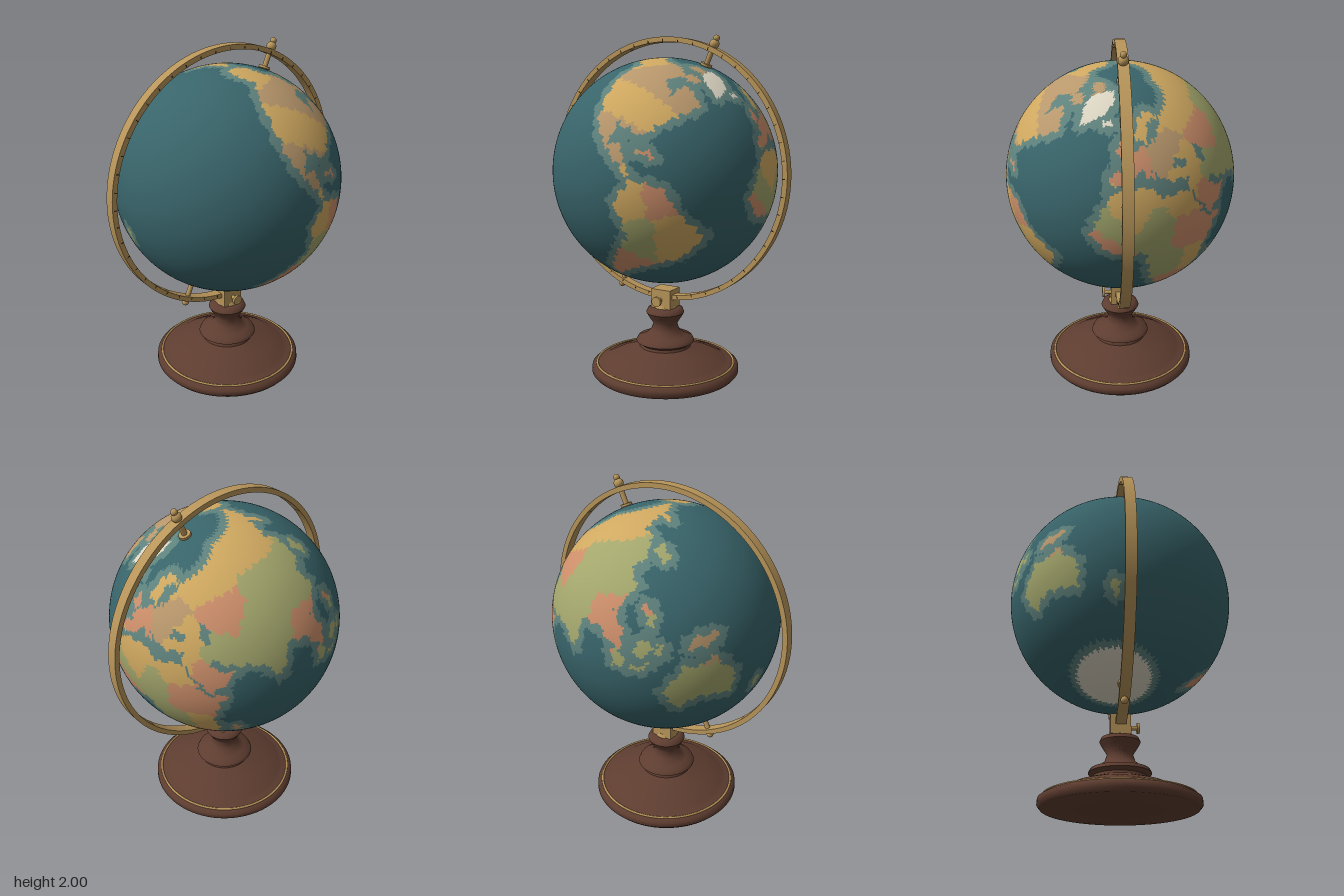
import * as THREE from 'three';
import { toCreasedNormals } from 'three/addons/utils/BufferGeometryUtils.js';

const mat = (name, color) => {
  const m = new THREE.MeshStandardMaterial({ color });
  m.name = name;
  return m;
};

// Coarse coastlines as lon, lat pairs in degrees
const northAmerica = [-166, 67, -156, 71, -125, 70, -95, 71, -82, 68, -94, 59, -80, 52, -77, 61, -65, 59, -57, 52, -66, 45,
  -76, 36, -81, 27, -97, 28, -95, 18, -88, 20, -83, 13, -78, 8, -97, 16, -107, 23, -124, 42, -135, 58, -155, 58, -164, 60];
const southAmerica = [-77, 8, -62, 10, -50, 0, -35, -6, -40, -20, -58, -37, -66, -48, -67, -55, -75, -48, -70, -18, -81, -5];
const africa = [-6, 36, 10, 37, 20, 31, 33, 31, 43, 12, 51, 11, 40, -4, 40, -15, 33, -27, 20, -35, 12, -15, 9, 4, -8, 5,
  -17, 14, -12, 27];
const eurasia = [-9, 37, -9, 43, -1, 45, -4, 49, 8, 54, 20, 55, 30, 60, 40, 66, 70, 70, 104, 76, 140, 72, 188, 66, 163, 60,
  157, 52, 155, 60, 137, 55, 139, 48, 127, 37, 120, 38, 121, 28, 107, 20, 108, 11, 103, 2, 97, 16, 88, 21, 78, 8, 72, 20,
  57, 26, 49, 30, 52, 24, 59, 21, 45, 13, 35, 29, 36, 36, 27, 37, 22, 38, 13, 45, 17, 39, 9, 44, 0, 39];
const scandinavia = [6, 59, 15, 68, 27, 71, 40, 66, 24, 65, 15, 56];
const greenland = [-70, 78, -35, 83, -19, 78, -24, 70, -43, 60, -53, 67];
const australia = [114, -23, 130, -13, 137, -16, 142, -12, 153, -26, 149, -38, 130, -32, 116, -35];
const mainlands = [northAmerica, southAmerica, africa, eurasia, scandinavia, greenland, australia];

// Islands and inland seas as ellipses: lon, lat, half width, half height
const islands = [[-74, 68, 4, 3], [-110, 71, 5, 2], [-79, 79, 4, 3], [-19, 65, 2.5, 1.3], [-3, 54, 2, 4], [-76, 21, 5, 1],
  [47, -19, 2, 6], [139, 38, 2.5, 5], [122, 14, 2, 5], [101, 0, 3, 4], [110, -7, 5, 1], [114, 1, 4, 4], [121, -2, 1.5, 3],
  [141, -5, 8, 2.5], [172, -42, 2, 4]];
const inlandSeas = [[34, 43, 4, 2], [51, 42, 2, 5]];

// Country centres as lon, lat pairs; land takes the tint of the nearest one
const countries = {
  ochre: [-155, 65, -100, 40, -75, 0, -50, -12, 65, 63, 110, 64, 170, 66, 38, 40, 2, 27, 30, 26, 36, -10, 15, 65],
  tan: [-100, 56, -75, 65, -80, 79, -98, 20, 25, 50, 47, -19, 140, -5],
  green: [82, 36, 100, 47, 115, 38, 78, 20, 133, -25, -64, -18, 56, 32, -8, 18, 20, -8, 114, 0, 16, 16],
  pink: [66, 47, 46, 22, -66, -38, -64, 7, 6, 48, -12, 10, 30, 13, 42, 7, 22, -27, 105, 15],
  ice: [-42, 66, -40, 76]
};

const RAD = Math.PI / 180;
const SHELF = 3.8;
const toVec = (lon, lat) => new THREE.Vector3().setFromSphericalCoords(1, (90 - lat) * RAD, lon * RAD);
const seeds = Object.entries(countries).flatMap(([tint, s]) =>
  Array.from({ length: s.length / 2 }, (_, i) => ({ tint, v: toVec(s[2 * i], s[2 * i + 1]) })));

// Distance in degrees from a point to a coastline: 0 on land
function coastDistance(p, x, y) {
  const k = Math.cos(y * RAD);
  let hit = false, best = Infinity;
  for (let i = 0, j = p.length - 2; i < p.length; j = i, i += 2) {
    const ax = (p[j] - x) * k, ay = p[j + 1] - y, dx = (p[i] - p[j]) * k, dy = p[i + 1] - p[j + 1];
    if ((p[i + 1] > y) !== (p[j + 1] > y) && ax - dx * ay / dy > 0) hit = !hit;
    const t = THREE.MathUtils.clamp(-(ax * dx + ay * dy) / (dx * dx + dy * dy), 0, 1);
    best = Math.min(best, Math.hypot(ax + t * dx, ay + t * dy));
  }
  return hit ? 0 : best;
}

const inEllipse = ([lon, lat, a, b], x, y, grow) =>
  Math.hypot((x - lon) * Math.cos(lat * RAD) / (a + grow), (y - lat) / (b + grow)) < 1;

// Map tint at a place, with a small wobble that roughens the coasts
function tintAt(lon, lat) {
  const x = lon + 0.9 * Math.sin(lat * 0.9 + lon * 0.3) + 0.5 * Math.sin(lat * 1.9);
  const y = lat + 0.8 * Math.sin(lon * 0.8 - lat * 0.2) + 0.4 * Math.sin(lon * 1.7);
  const iceEdge = -72 + 5 * Math.cos((x - 100) * RAD);
  if (y < iceEdge) return 'ice';
  if (inlandSeas.some(e => inEllipse(e, x, y, 0))) return 'shallow';
  const wrapped = x < -165 ? x + 360 : x;
  const far = Math.min(...mainlands.map(p => Math.min(coastDistance(p, x, y), coastDistance(p, wrapped, y))));
  if (far === 0 || islands.some(e => inEllipse(e, x, y, 0))) {
    const v = toVec(x, y);
    return seeds.reduce((a, b) => (b.v.dot(v) > a.v.dot(v) ? b : a)).tint;
  }
  return far < SHELF || y < iceEdge + SHELF || islands.some(e => inEllipse(e, x, y, SHELF)) ? 'shallow' : 'ocean';
}

// Smooth sphere whose cells are grouped by map tint
function globeGeometry(radius, W, H, names) {
  const geo = new THREE.SphereGeometry(radius, W, H);
  const lists = Object.fromEntries(names.map(n => [n, []]));
  for (let r = 0; r < H; r++) for (let c = 0; c < W; c++) {
    const list = lists[tintAt((c + 0.5) / W * 360 - 180, 90 - (r + 0.5) / H * 180)];
    const b = r * (W + 1) + c, a = b + 1, d = b + W + 1, e = d + 1;
    if (r > 0) list.push(a, b, e);
    if (r < H - 1) list.push(b, d, e);
  }
  let start = 0;
  names.forEach((n, i) => {
    geo.addGroup(start, lists[n].length, i);
    start += lists[n].length;
  });
  geo.setIndex(names.flatMap(n => lists[n]));
  return geo;
}

export function createModel() {
  const model = new THREE.Group();
  const tints = {
    ocean: mat('ocean', 0x38646a), shallow: mat('shallow sea', 0x5f827d), ochre: mat('ochre land', 0xcfa860),
    tan: mat('tan land', 0xb8976c), green: mat('green land', 0xa3a66c), pink: mat('terracotta land', 0xcc8e6a),
    ice: mat('ice', 0xdcd5c3)
  };
  const brass = mat('brass', 0xb8955a), wood = mat('dark wood', 0x5e3d30), ink = mat('ink', 0x2a2018);
  const add = (parent, name, geo, material, x = 0, y = 0, z = 0) => {
    const m = new THREE.Mesh(geo, material);
    m.name = name;
    m.position.set(x, y, z);
    parent.add(m);
    return m;
  };

  // Turned wooden base
  const profile = [[0, 0], [0.43, 0], [0.447, 0.02], [0.445, 0.05], [0.42, 0.068], [0.385, 0.07], [0.36, 0.087],
    [0.27, 0.127], [0.155, 0.165], [0.15, 0.18], [0.176, 0.198], [0.165, 0.22], [0.125, 0.23], [0.085, 0.265],
    [0.072, 0.305], [0.1, 0.348], [0.115, 0.375], [0.105, 0.398], [0.085, 0.405], [0, 0.405]];
  const baseGeo = new THREE.LatheGeometry(profile.map(p => new THREE.Vector2(...p)), 80);
  add(model, 'base', toCreasedNormals(baseGeo, 0.9), wood);
  add(model, 'baseBand', new THREE.TorusGeometry(0.415, 0.007, 8, 96), brass, 0, 0.068, 0).rotation.x = Math.PI / 2;

  // Brass clamp with thumbscrew
  add(model, 'clampCollar', new THREE.CylinderGeometry(0.06, 0.07, 0.025, 32), brass, 0, 0.415, 0);
  add(model, 'clampBlock', new THREE.BoxGeometry(0.13, 0.115, 0.115), brass, 0, 0.465, 0);
  add(model, 'screwShaft', new THREE.CylinderGeometry(0.012, 0.012, 0.06, 16), brass, 0, 0.46, 0.075).rotation.x = Math.PI / 2;
  add(model, 'screwHead', new THREE.CylinderGeometry(0.03, 0.03, 0.016, 24), brass, 0, 0.46, 0.102).rotation.x = Math.PI / 2;

  // Tilted globe with axle pins and finials
  const globe = new THREE.Group();
  globe.name = 'globe';
  globe.position.y = 1.23;
  globe.rotation.z = -23.5 * RAD;
  model.add(globe);
  add(globe, 'mapSphere', globeGeometry(0.655, 320, 160, Object.keys(tints)), Object.values(tints));
  for (const s of [1, -1]) {
    add(globe, 'axlePin', new THREE.CylinderGeometry(0.015, 0.015, 0.13, 16), brass, 0, s * 0.71, 0);
    add(globe, 'axleCollar', new THREE.CylinderGeometry(0.033, 0.033, 0.014, 24), brass, 0, s * 0.664, 0);
  }
  add(globe, 'topFinial', new THREE.SphereGeometry(0.028, 24, 16), brass, 0, 0.786, 0);
  add(globe, 'topFinialTip', new THREE.SphereGeometry(0.018, 20, 12), brass, 0, 0.82, 0);
  add(globe, 'bottomFinial', new THREE.SphereGeometry(0.021, 20, 12), brass, 0, -0.784, 0);

  // Meridian ring with degree ticks on the front
  const ring = new THREE.Shape().absarc(0, 0, 0.77, 0, Math.PI * 2);
  ring.holes.push(new THREE.Path().absarc(0, 0, 0.741, 0, Math.PI * 2, true));
  const ringGeo = new THREE.ExtrudeGeometry(ring, { depth: 0.06, bevelEnabled: false, curveSegments: 128 });
  add(model, 'meridianRing', toCreasedNormals(ringGeo, 0.5), brass, 0, 1.23, -0.03);
  const tickGeo = new THREE.BoxGeometry(0.016, 0.004, 0.003);
  for (let i = 0; i < 48; i++) {
    const a = i * Math.PI / 24;
    add(model, 'degreeTick', tickGeo, ink, Math.cos(a) * 0.75, 1.23 + Math.sin(a) * 0.75, 0.03).rotation.z = a;
  }
  return model;
}
